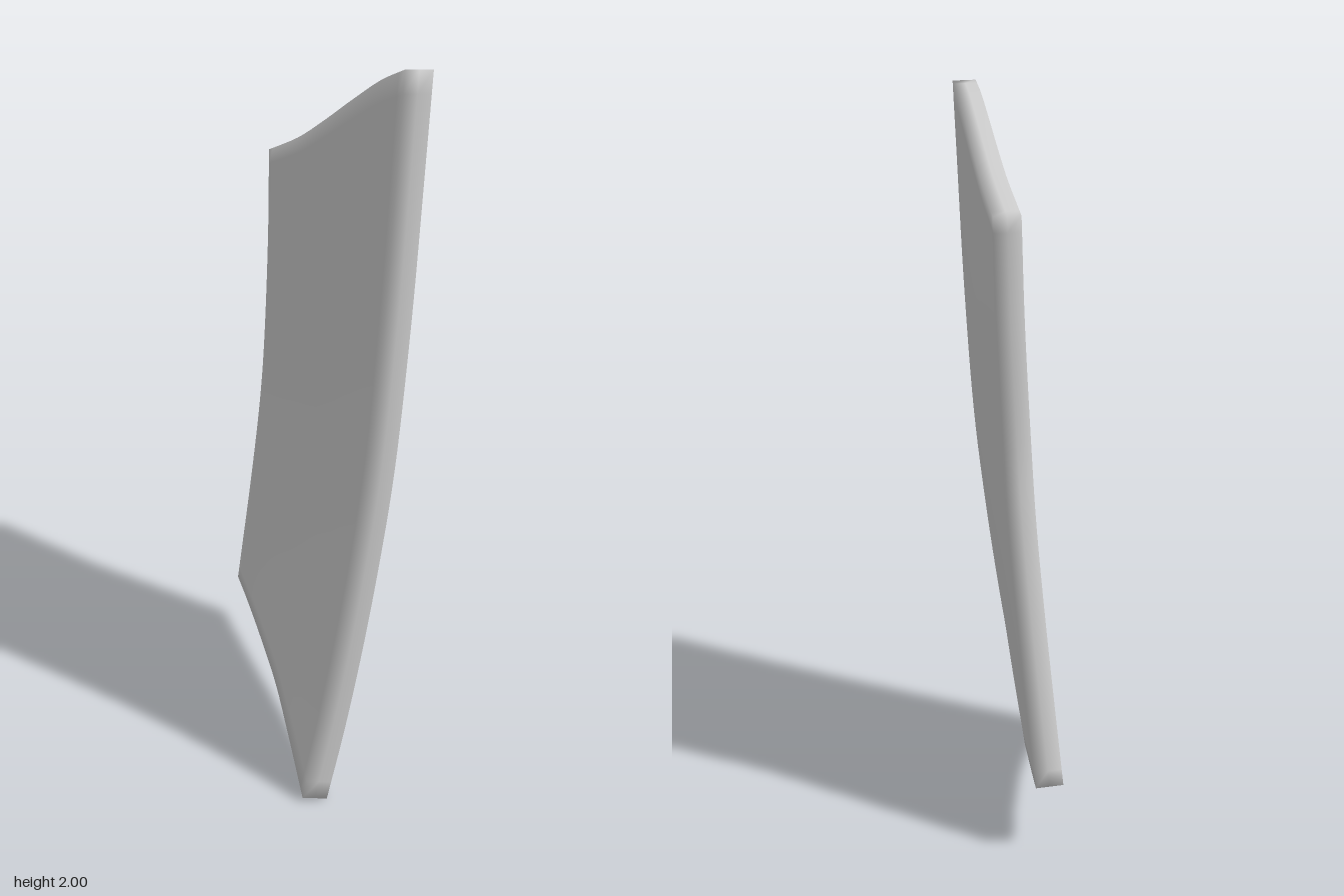
import * as THREE from 'three';
import { mergeVertices } from 'three/addons/utils/BufferGeometryUtils.js';

const THICKNESS = 0.07;
const curve = (pts) => new THREE.CatmullRomCurve3(pts.map((p) => new THREE.Vector3(...p)), false, 'centripetal');

// Four border curves of the inner face
const front = curve([[-0.14, 0.014, 0.437], [-0.095, 0.24, 0.453], [-0.053, 0.49, 0.47], [-0.016, 0.75, 0.486],
  [0.013, 1, 0.5], [0.04, 1.38, 0.517], [0.06, 1.79, 0.533], [0.07, 2, 0.54]]);
const back = curve([[-0.06, 0.187, -0.54], [-0.02, 0.6, -0.487], [0.001, 0.85, -0.46], [0.011, 1.02, -0.448],
  [0.03, 1.35, -0.46], [0.04, 1.612, -0.476]]);
const bottom = curve([[-0.14, 0.014, 0.437], [-0.112, 0.069, 0.2], [-0.09, 0.111, 0], [-0.077, 0.145, -0.2],
  [-0.066, 0.172, -0.4], [-0.06, 0.187, -0.54]]);
const top = curve([[0.07, 2, 0.54], [0.066, 1.955, 0.4], [0.06, 1.872, 0.2], [0.054, 1.785, 0],
  [0.048, 1.703, -0.2], [0.042, 1.636, -0.4], [0.04, 1.612, -0.476]]);

// Surface spanned between the borders: s runs front to back, t bottom to top
function surface(s, t) {
  const p = new THREE.Vector3();
  p.addScaledVector(front.getPointAt(t), 1 - s).addScaledVector(back.getPointAt(t), s);
  p.addScaledVector(bottom.getPointAt(s), 1 - t).addScaledVector(top.getPointAt(s), t);
  p.addScaledVector(front.points[0], -(1 - s) * (1 - t));
  p.addScaledVector(back.points[0], -s * (1 - t));
  p.addScaledVector(top.points[0], -(1 - s) * t);
  p.addScaledVector(top.points[top.points.length - 1], -s * t);
  return p;
}

function surfaceNormal(s, t) {
  const e = 0.02;
  const s0 = Math.max(0, s - e), s1 = Math.min(1, s + e);
  const t0 = Math.max(0, t - e), t1 = Math.min(1, t + e);
  const ds = surface(s1, t).sub(surface(s0, t));
  const dt = surface(s, t1).sub(surface(s, t0));
  return dt.cross(ds.negate()).normalize();
}

export function createModel() {
  const group = new THREE.Group();
  group.name = 'curvedPanel';

  // A subdivided slab bent onto the surface and thickened along its normal
  const slab = new THREE.BoxGeometry(1, 1, 1, 2, 36, 28);
  slab.deleteAttribute('uv');
  slab.deleteAttribute('normal');
  const geometry = mergeVertices(slab);
  const pos = geometry.attributes.position;
  for (let i = 0; i < pos.count; i++) {
    const s = THREE.MathUtils.clamp(0.5 - pos.getZ(i), 0, 1);
    const t = THREE.MathUtils.clamp(pos.getY(i) + 0.5, 0, 1);
    const p = surface(s, t).addScaledVector(surfaceNormal(s, t), (pos.getX(i) + 0.5) * THICKNESS);
    pos.setXYZ(i, p.x, p.y, p.z);
  }
  geometry.computeVertexNormals();

  const panel = new THREE.Mesh(geometry, new THREE.MeshStandardMaterial({ color: 0xcccccc }));
  panel.name = 'panel';
  group.add(panel);
  return group;
}
